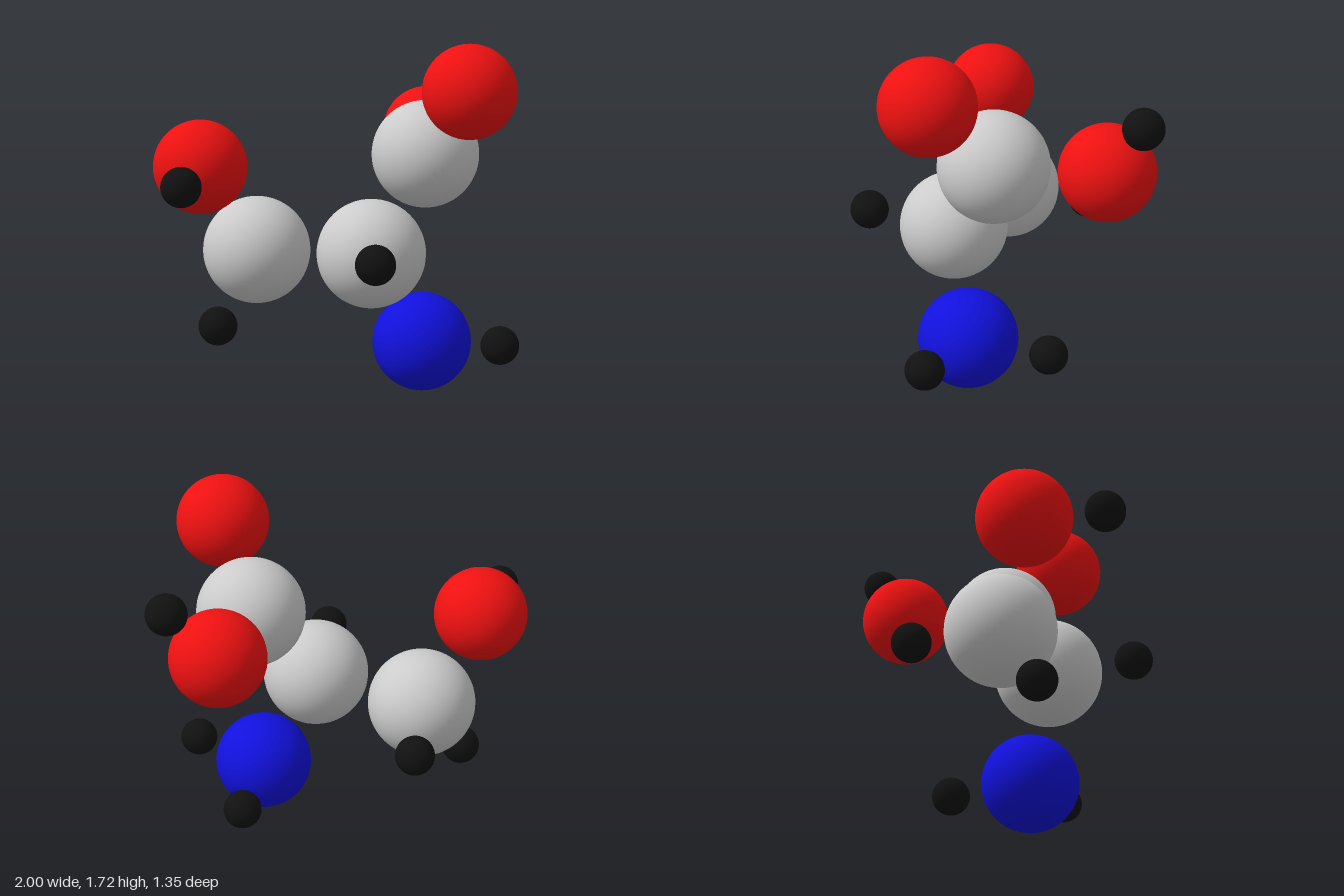
import * as THREE from 'three';

// Each kind of atom: radius and colour
const KINDS = {
  carbon: { radius: 0.262, color: 0xcccccc },
  oxygen: { radius: 0.224, color: 0xee1111 },
  nitrogen: { radius: 0.242, color: 0x1111dd },
  hydrogen: { radius: 0.0935, color: 0x111111 },
};

// Kind, part name and centre of every atom
const ATOMS = [
  // carbon backbone
  ['carbon', 'sideCarbon', -0.38, 0.70, -0.22],
  ['carbon', 'middleCarbon', 0.016, 0.722, 0.205],
  ['carbon', 'acidCarbon', 0.37, 1.16, 0.127],
  // oxygens
  ['oxygen', 'sideOxygen', -0.67, 1.14, -0.23],
  ['oxygen', 'doubleBondOxygen', 0.402, 1.505, 0.45],
  ['oxygen', 'acidOxygen', 0.663, 1.187, -0.31],
  // nitrogen
  ['nitrogen', 'amineNitrogen', 0.293, 0.247, 0.23],
  // hydrogens
  ['hydrogen', 'sideOxygenHydrogen', -0.907, 1.12, 0.063],
  ['hydrogen', 'acidHydrogen', 0.903, 1.478, -0.368],
  ['hydrogen', 'lowerSideHydrogen', -0.63, 0.366, -0.153],
  ['hydrogen', 'rearSideHydrogen', -0.195, 0.65, -0.587],
  ['hydrogen', 'middleHydrogen', -0.184, 0.775, 0.571],
  ['hydrogen', 'frontAmineHydrogen', 0.548, 0.265, 0.531],
  ['hydrogen', 'rearAmineHydrogen', 0.51, 0.203, -0.102],
];

export function createModel() {
  const model = new THREE.Group();
  model.name = 'molecule';

  // One shared smooth sphere and material per kind
  const parts = {};
  for (const [kind, { radius, color }] of Object.entries(KINDS)) {
    parts[kind] = {
      geometry: new THREE.SphereGeometry(radius, 48, 32),
      material: new THREE.MeshStandardMaterial({ color }),
    };
  }

  for (const [kind, name, x, y, z] of ATOMS) {
    const atom = new THREE.Mesh(parts[kind].geometry, parts[kind].material);
    atom.name = name;
    atom.position.set(x, y, z);
    model.add(atom);
  }
  return model;
}
